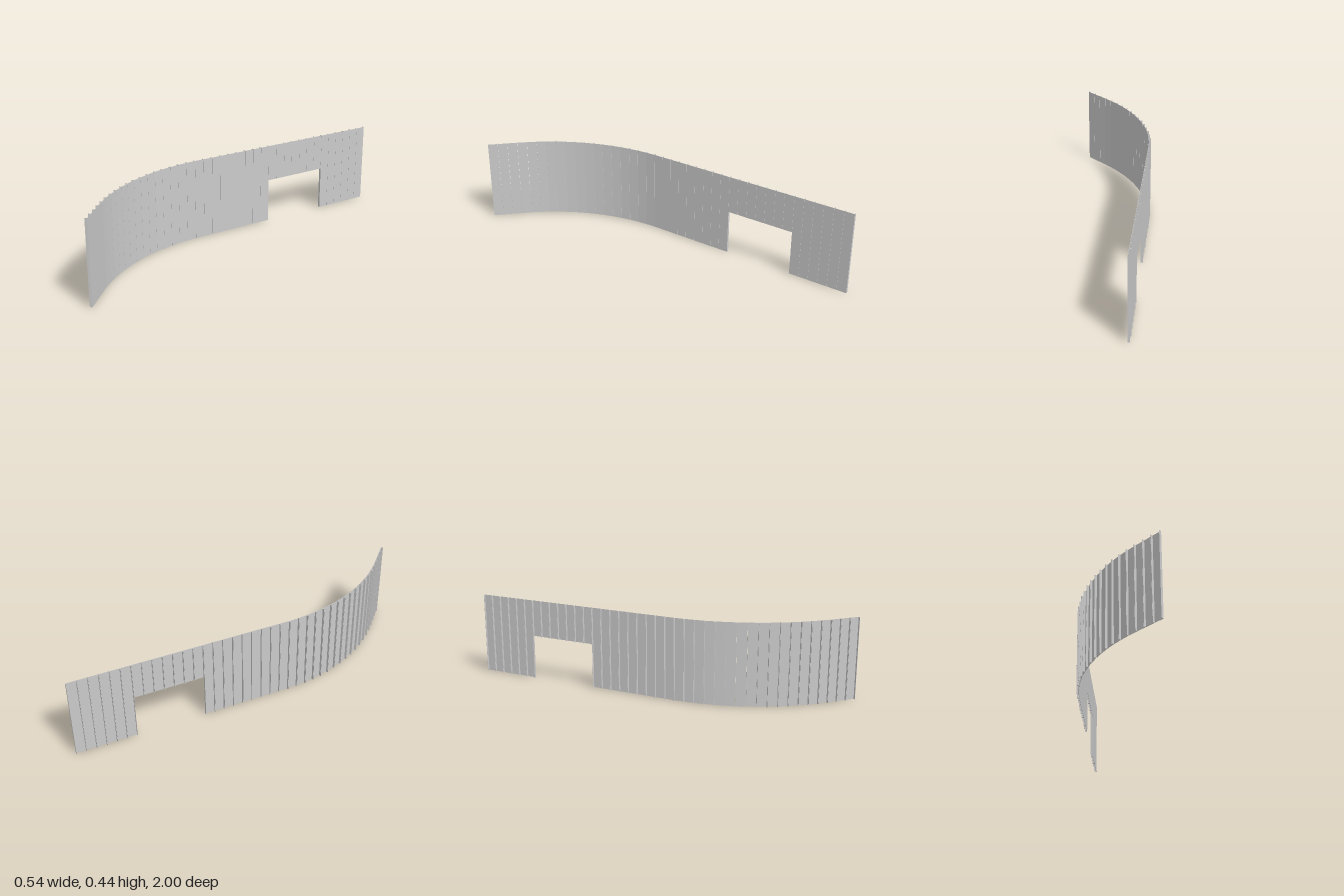
import * as THREE from 'three';

const HEIGHT = 0.435, DOOR_HEIGHT = 0.237, PANELS = 40;
const DOOR_FIRST = 6, DOOR_LAST = 12;        // panels above the doorway
const FLANGE = 0.0125, SHEET = 0.0012, GAP = 0.0004;

// Plan of the wall: straight run, arc, short straight run (x, z)
const RADIUS = 0.988, ARC_X = -0.262 + RADIUS, ARC_Z = 0.45;
const BEND = Math.atan(0.427), END_Z = 0.995;
const dz = RADIUS * Math.sin(BEND);
const tangentX = ARC_X - RADIUS * Math.cos(BEND);
const back = (ARC_Z - dz + END_Z) / Math.cos(BEND);
const arc = 2 * BEND * RADIUS;
const front = (END_Z - ARC_Z - dz) / Math.cos(BEND);

function planPoint(s) {
  if (s < back) {
    const d = back - s;
    return new THREE.Vector2(tangentX + d * Math.sin(BEND), ARC_Z - dz - d * Math.cos(BEND));
  }
  if (s < back + arc) {
    const a = (s - back) / RADIUS - BEND;
    return new THREE.Vector2(ARC_X - RADIUS * Math.cos(a), ARC_Z + RADIUS * Math.sin(a));
  }
  const d = s - back - arc;
  return new THREE.Vector2(tangentX + d * Math.sin(BEND), ARC_Z + dz + d * Math.cos(BEND));
}

// Folded sheet: a flat web with a flange along each edge
function trayGeometry(width, height) {
  const w = width / 2 - GAP;
  const shape = new THREE.Shape([
    [-w, 0], [-w, -FLANGE], [-w + SHEET, -FLANGE], [-w + SHEET, -SHEET],
    [w - SHEET, -SHEET], [w - SHEET, -FLANGE], [w, -FLANGE], [w, 0],
  ].map(([x, y]) => new THREE.Vector2(x, y)));
  const geometry = new THREE.ExtrudeGeometry(shape, { depth: height, bevelEnabled: false });
  return geometry.rotateX(-Math.PI / 2);
}

export function createModel() {
  const group = new THREE.Group();
  group.name = 'curvedPanelWall';
  const material = new THREE.MeshStandardMaterial({ color: 0xcccccc, side: THREE.DoubleSide });
  const pitch = (back + arc + front) / PANELS;

  for (let i = 0; i < PANELS; i++) {
    const a = planPoint(i * pitch), b = planPoint((i + 1) * pitch);
    const overDoor = i >= DOOR_FIRST && i <= DOOR_LAST;
    const base = overDoor ? DOOR_HEIGHT : 0;
    const panel = new THREE.Mesh(trayGeometry(a.distanceTo(b), HEIGHT - base), material);
    panel.name = overDoor ? 'doorHeadPanel' : 'wallPanel';
    panel.position.set((a.x + b.x) / 2, base, (a.y + b.y) / 2);
    panel.rotation.y = Math.atan2(a.y - b.y, b.x - a.x);
    group.add(panel);
  }
  return group;
}
